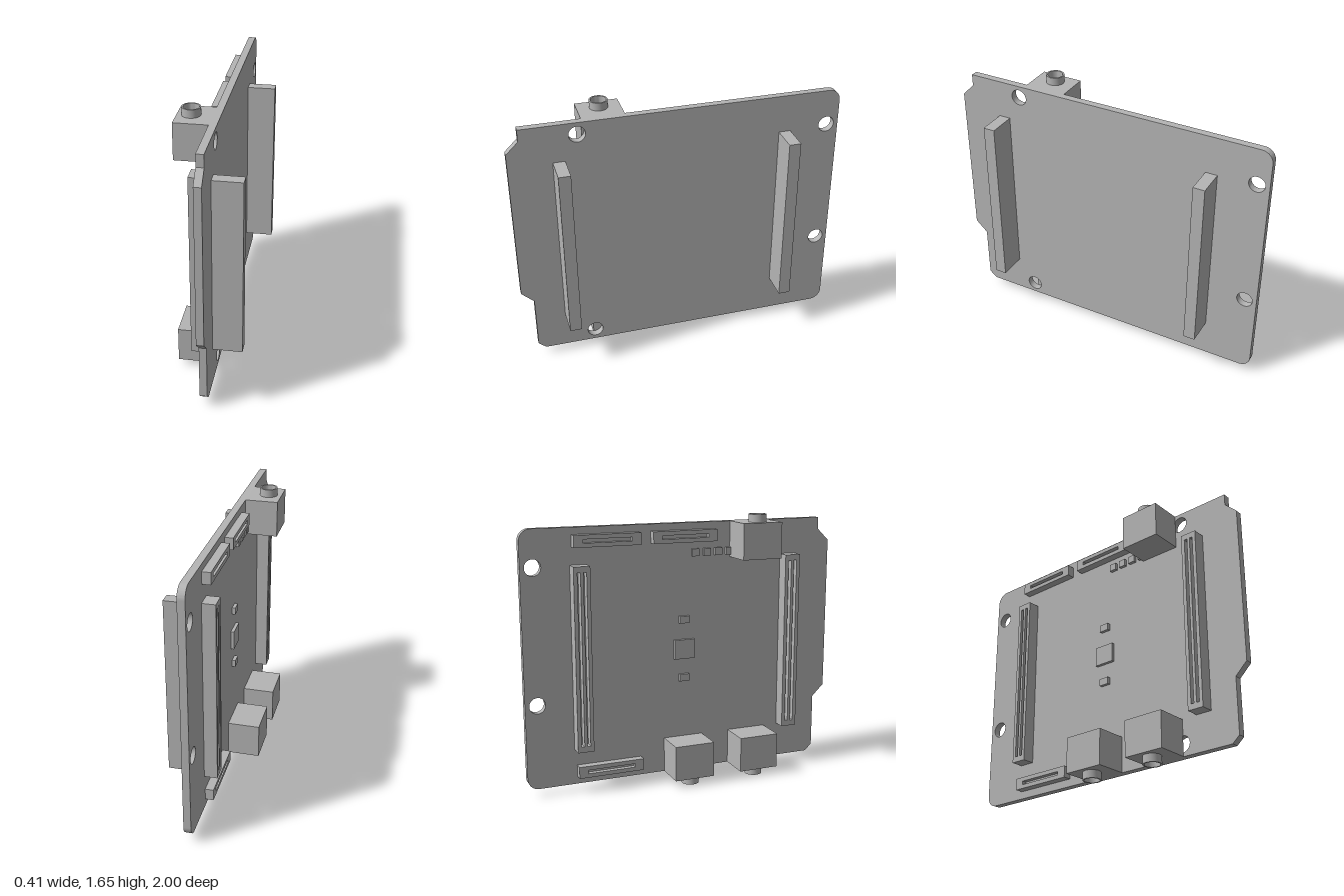
import * as THREE from 'three';
import { toCreasedNormals } from 'three/addons/utils/BufferGeometryUtils.js';

const BACK = -0.013, FACE = 0.031; // the two faces of the board along x

export function createModel() {
  const model = new THREE.Group();
  model.name = 'circuitBoard';
  const grey = new THREE.MeshStandardMaterial({ color: 0xb5b5b5 });
  grey.name = 'plain grey';

  const add = (name, geometry, parent = model) => {
    const mesh = new THREE.Mesh(geometry, grey);
    mesh.name = name;
    parent.add(mesh);
    return mesh;
  };

  // Box given by its limits on each axis
  const box = (name, [x0, x1], [y0, y1], [z0, z1], parent) => {
    const g = new THREE.BoxGeometry(x1 - x0, y1 - y0, z1 - z0);
    g.translate((x0 + x1) / 2, (y0 + y1) / 2, (z0 + z1) / 2);
    return add(name, g, parent);
  };

  // Extrude a shape drawn in (-z, y) from x0 to x1
  const plate = (name, shape, x0, x1, parent) => {
    const g = new THREE.ExtrudeGeometry(shape, { depth: x1 - x0, bevelEnabled: false, curveSegments: 16 });
    g.rotateY(Math.PI / 2);
    g.translate(x0, 0, 0);
    return add(name, toCreasedNormals(g, 0.5), parent);
  };

  const rectPath = (Type, [y0, y1], [z0, z1]) => {
    const p = new Type();
    p.moveTo(-z1, y0);
    p.lineTo(-z0, y0);
    p.lineTo(-z0, y1);
    p.lineTo(-z1, y1);
    p.closePath();
    return p;
  };

  // Board with edge tab, clipped corner, rounded rear corners and screw holes
  const r = 0.07, y0 = 0.05, y1 = 1.603;
  const outline = new THREE.Shape();
  outline.moveTo(-0.88, y0);
  outline.lineTo(1 - r, y0);
  outline.absarc(1 - r, y0 + r, r, -Math.PI / 2, 0, false);
  outline.lineTo(1, y1 - r);
  outline.absarc(1 - r, y1 - r, r, 0, Math.PI / 2, false);
  for (const [z, y] of [[0.925, y1], [0.925, 1.53], [1, 1.457], [1, 0.497], [0.925, 0.425], [0.925, 0.09]]) {
    outline.lineTo(-z, y);
  }
  outline.closePath();
  for (const [z, y] of [[0.594, 1.53], [0.556, 0.123], [-0.925, 1.382], [-0.925, 0.567]]) {
    const hole = new THREE.Path();
    hole.absarc(-z, y, 0.049, 0, Math.PI * 2, true);
    outline.holes.push(hole);
  }
  plate('board', outline, BACK, FACE);

  // Block with open grooves towards -x and a solid floor
  const groovedBlock = (name, yr, zr, depth, grooveDepth, grooves) => {
    const group = new THREE.Group();
    group.name = name;
    model.add(group);
    const shape = rectPath(THREE.Shape, yr, zr);
    for (const [gy, gz] of grooves) shape.holes.push(rectPath(THREE.Path, gy, gz));
    const floor = BACK - depth + grooveDepth;
    plate('groovedFace', shape, BACK - depth, floor, group);
    box('floor', [floor, BACK], yr, zr, group);
  };

  // Long board-to-board connectors: plug on one side, socket on the other
  for (const z of [0.706, -0.658]) {
    box('plugConnector', [FACE, 0.205], [0.286, 1.37], [z - 0.036, z + 0.036]);
    groovedBlock('socketConnector', [0.27, 1.385], [z - 0.05, z + 0.05], 0.078, 0.05, [
      [[0.305, 1.35], [z - 0.028, z - 0.009]],
      [[0.305, 1.35], [z + 0.009, z + 0.028]],
    ]);
  }

  // Low slotted connectors along the edges
  for (const [y, z] of [[1.525, -0.49], [1.525, -0.004], [0.133, -0.49]]) {
    groovedBlock('slimConnector', [y - 0.036, y + 0.036], [z - 0.205, z + 0.205], 0.05, 0.03, [
      [[y - 0.011, y + 0.011], [z - 0.15, z + 0.15]],
    ]);
  }

  // Jacks: cube body with a short hollow barrel pointing out over the edge
  const barrel = toCreasedNormals(new THREE.LatheGeometry(
    [[0.054, 0], [0.054, 0.048], [0.045, 0.048], [0.045, 0.002], [0, 0.002]].map(([x, y]) => new THREE.Vector2(x, y)),
    32), 0.6);
  for (const [top, z] of [[true, 0.434], [false, 0.434], [false, -0.003]]) {
    const jack = new THREE.Group();
    jack.name = 'jack';
    model.add(jack);
    box('jackBody', [-0.21, BACK], top ? [1.384, y1] : [y0, 0.268], [z - 0.127, z + 0.127], jack);
    const b = add('jackBarrel', barrel, jack);
    b.position.set(-0.13, top ? y1 : y0, z);
    if (!top) b.rotation.x = Math.PI;
  }

  // Small surface-mounted chips
  box('mainChip', [BACK - 0.02, BACK], [0.77, 0.89], [-0.065, 0.065]);
  for (const y of [1.015, 0.65]) {
    box('smallChip', [BACK - 0.02, BACK], [y - 0.022, y + 0.022], [-0.032, 0.032]);
  }
  for (let i = 0; i < 4; i++) {
    const z = 0.075 + i * 0.075;
    box('tinyChip', [BACK - 0.02, BACK], [1.4, 1.445], [z - 0.023, z + 0.023]);
  }

  return model;
}
